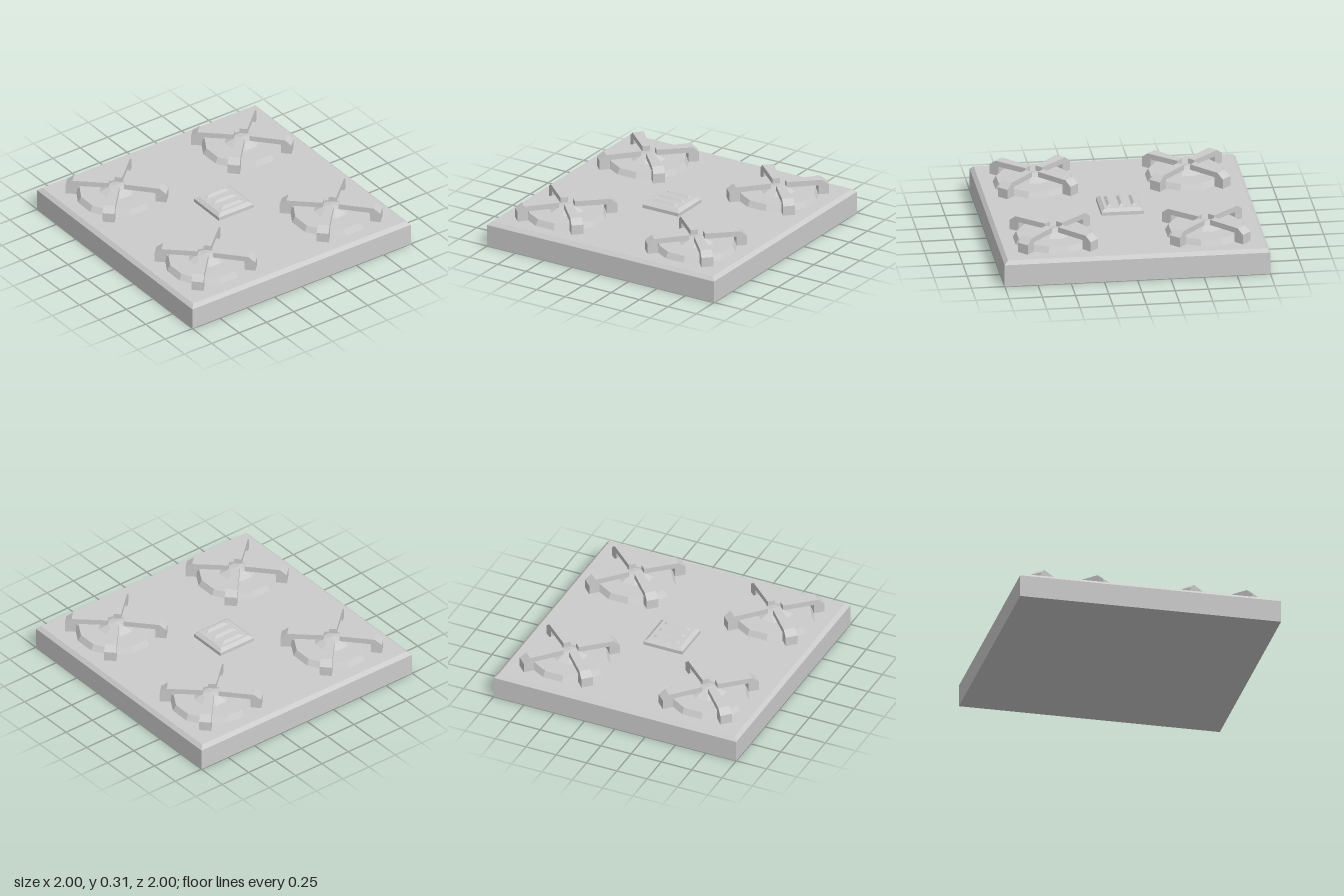
import * as THREE from 'three';

const material = new THREE.MeshStandardMaterial({ color: 0xcccccc, flatShading: true });
const DECK = 0.197;

function part(name, geometry, parent) {
  const mesh = new THREE.Mesh(geometry, material);
  mesh.name = name;
  parent.add(mesh);
  return mesh;
}

// Box whose top is resized to topW x topD, standing on y0
function taperedBox(w, d, topW, topD, y0, y1) {
  const g = new THREE.BoxGeometry(w, y1 - y0, d);
  const p = g.attributes.position;
  for (let i = 0; i < p.count; i++) {
    if (p.getY(i) > 0) {
      p.setX(i, Math.sign(p.getX(i)) * topW / 2);
      p.setZ(i, Math.sign(p.getZ(i)) * topD / 2);
    }
  }
  g.translate(0, (y0 + y1) / 2, 0);
  g.computeVertexNormals();
  return g;
}

// Faceted turned part; rotated so that flat sides face the axes
function faceted(profile, sides) {
  const g = new THREE.LatheGeometry(profile.map(([r, y]) => new THREE.Vector2(r, y)), sides);
  return g.rotateY(Math.PI / sides);
}

// Bent arm running along +x, narrower towards the burner centre
function armGeometry() {
  const outline = [[0.06, 0.27], [0.30, 0.27], [0.30, DECK], [0.381, DECK],
    [0.381, 0.272], [0.33, 0.312], [0.06, 0.312]];
  const shape = new THREE.Shape(outline.map(([x, y]) => new THREE.Vector2(x, y)));
  const g = new THREE.ExtrudeGeometry(shape, { depth: 1, bevelEnabled: false });
  g.translate(0, 0, -0.5);
  const p = g.attributes.position;
  for (let i = 0; i < p.count; i++) {
    const t = (p.getX(i) - 0.06) / 0.321;
    p.setZ(i, p.getZ(i) * THREE.MathUtils.lerp(0.058, 0.092, t));
  }
  g.computeVertexNormals();
  return g;
}

export function createModel() {
  const model = new THREE.Group();
  model.name = 'stoveTop';

  // Slab with chamfered upper edge
  part('baseSlab', taperedBox(2, 2, 2, 2, 0, 0.17), model);
  part('baseChamfer', taperedBox(2, 2, 1.944, 1.944, 0.17, DECK), model);

  // Four burners, each with a plate, a cap and four arms
  const plate = faceted([[0.31, DECK], [0.285, 0.242], [0, 0.242]], 12);
  const cap = faceted([[0.133, 0.242], [0.07, 0.272], [0, 0.283]], 8);
  const arm = armGeometry();
  for (const sx of [-1, 1]) {
    for (const sz of [-1, 1]) {
      const burner = new THREE.Group();
      burner.name = 'burner';
      burner.position.set(sx * 0.573, 0, sz * 0.573);
      part('burnerPlate', plate, burner);
      part('burnerCap', cap, burner);
      for (let k = 0; k < 4; k++) {
        part('grateArm', arm, burner).rotation.y = Math.PI / 4 + k * Math.PI / 2;
      }
      model.add(burner);
    }
  }

  // Central vent with three ridged slats
  const vent = new THREE.Group();
  vent.name = 'vent';
  part('ventBody', taperedBox(0.32, 0.32, 0.32, 0.32, DECK, 0.224), vent);
  part('ventChamfer', taperedBox(0.32, 0.32, 0.264, 0.264, 0.224, 0.246), vent);
  const slat = taperedBox(0.21, 0.036, 0.15, 0.001, 0.246, 0.263);
  for (const z of [-0.093, 0, 0.093]) part('ventSlat', slat, vent).position.z = z;
  model.add(vent);

  return model;
}
